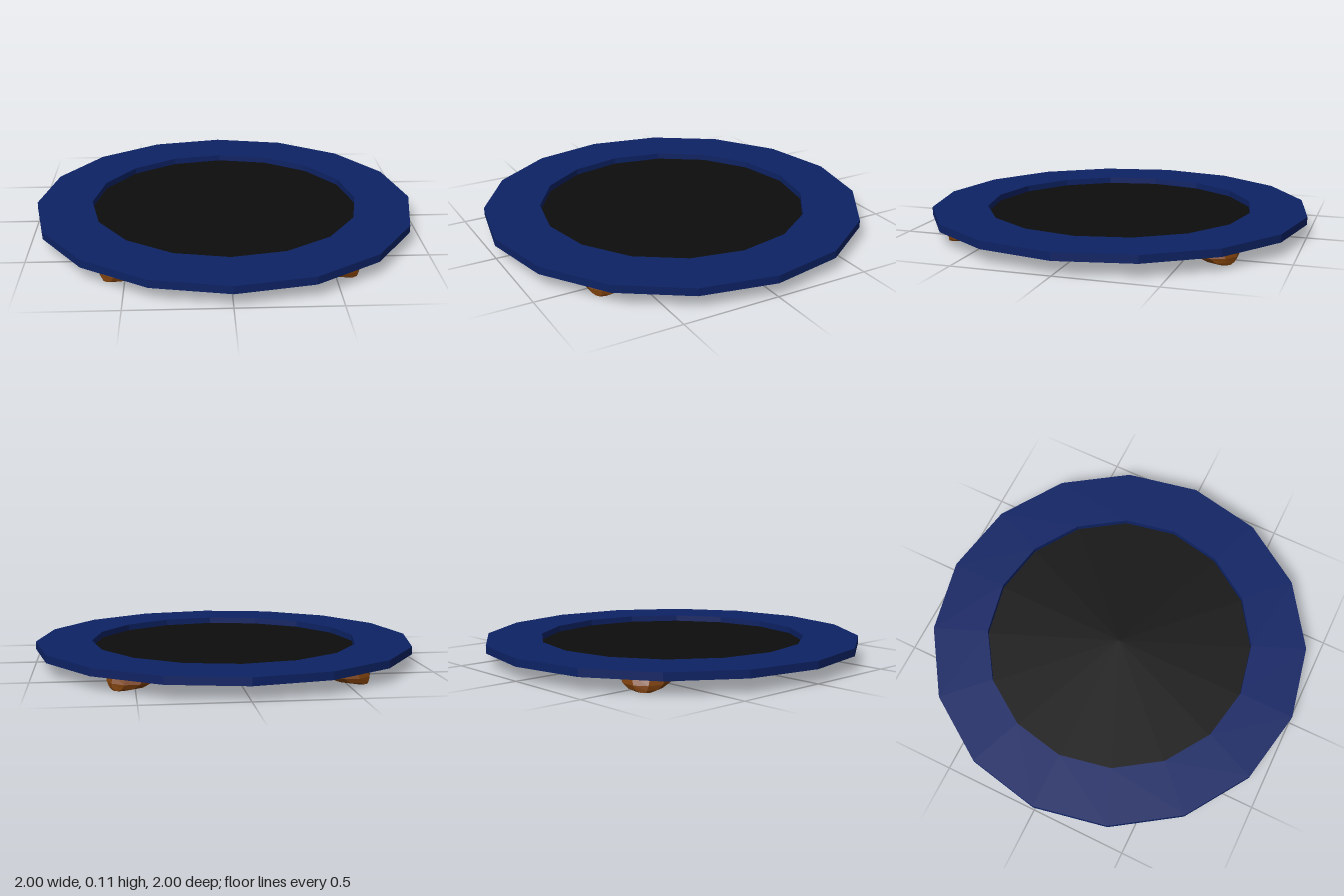
import * as THREE from 'three';

const SIDES = 16;
const RIM_RADIUS = 1, BED_RADIUS = 0.707;
const BOTTOM = 0.07, FLOOR = 0.077, TOP = 0.11;

// Rounded foot lofted from elliptical rings that slide outward as they go down
function footGeometry(sx, sz, sides = 10) {
  const rings = [ // y, inner x, outer x, inner z, outer z
    [0.074, 0.365, 0.627, 0.465, 0.744],
    [0.032, 0.4, 0.631, 0.525, 0.752],
    [0.01, 0.45, 0.621, 0.585, 0.742],
    [0.0, 0.53, 0.607, 0.65, 0.728],
  ];
  const positions = [], index = [];
  for (const [y, x0, x1, z0, z1] of rings) {
    for (let i = 0; i < sides; i++) {
      const a = (i / sides) * Math.PI * 2;
      positions.push(
        sx * (x0 + x1) / 2 + (x1 - x0) / 2 * Math.cos(a),
        y,
        sz * (z0 + z1) / 2 + (z1 - z0) / 2 * Math.sin(a));
    }
  }
  for (let r = 0; r < rings.length - 1; r++) {
    for (let i = 0; i < sides; i++) {
      const j = (i + 1) % sides;
      const a = r * sides + i, b = r * sides + j, c = a + sides, d = b + sides;
      index.push(a, b, c, b, d, c);
    }
  }
  // Flat sole
  const last = (rings.length - 1) * sides;
  for (let i = 1; i < sides - 1; i++) index.push(last, last + i, last + i + 1);

  const geometry = new THREE.BufferGeometry();
  geometry.setAttribute('position', new THREE.Float32BufferAttribute(positions, 3));
  geometry.setIndex(index);
  geometry.computeVertexNormals();
  return geometry;
}

export function createModel() {
  const material = (name, color) => {
    const m = new THREE.MeshStandardMaterial({ color, flatShading: true });
    m.name = name;
    return m;
  };
  const navy = material('navy', 0x0d2264);
  const black = material('black', 0x0d0d0d);
  const brown = material('brown', 0x7c400c);

  const model = new THREE.Group();
  model.name = 'roundBed';
  const add = (name, geometry, mat) => {
    const mesh = new THREE.Mesh(geometry, mat);
    mesh.name = name;
    model.add(mesh);
    return mesh;
  };

  // Underside, outer edge, flat rim and inner wall in one turned profile
  const profile = [
    [0, BOTTOM], [RIM_RADIUS, BOTTOM], [RIM_RADIUS, TOP],
    [BED_RADIUS, TOP], [BED_RADIUS, BOTTOM + 0.002],
  ].map(([x, y]) => new THREE.Vector2(x, y));
  add('rim', new THREE.LatheGeometry(profile, SIDES), navy);

  // Sunken centre
  const floor = new THREE.CircleGeometry(BED_RADIUS, SIDES).rotateX(-Math.PI / 2);
  add('centrePad', floor, black).position.y = FLOOR;

  // Four feet
  for (const sx of [-1, 1]) {
    for (const sz of [-1, 1]) {
      add(`${sz > 0 ? 'front' : 'back'}${sx > 0 ? 'Left' : 'Right'}Foot`, footGeometry(sx, sz), brown);
    }
  }
  return model;
}
